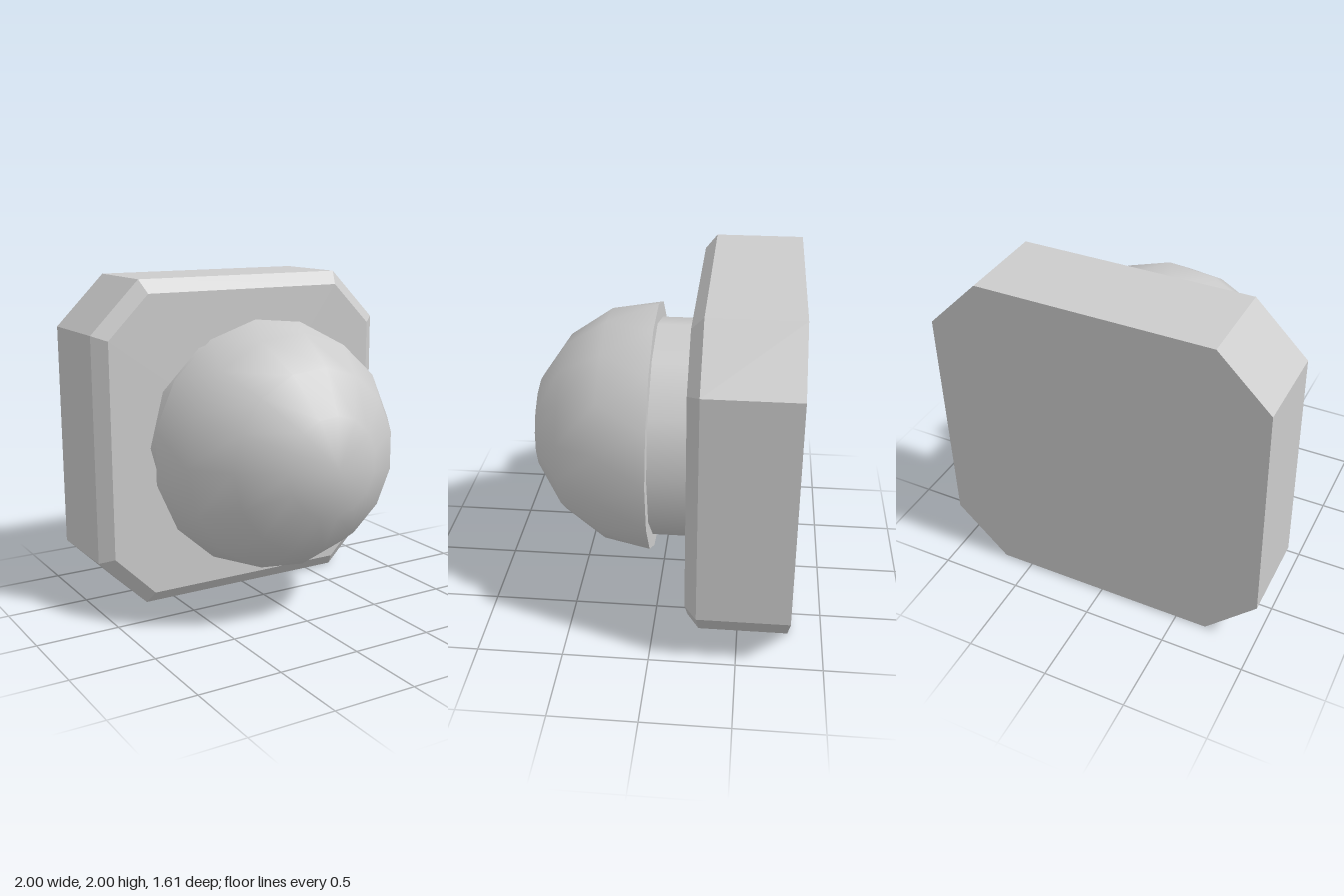
import * as THREE from 'three';
import { mergeVertices } from 'three/addons/utils/BufferGeometryUtils.js';

const SIDES = 15, DOME_R = 0.765, RIM_Z = 0.04, BEVEL_Z = -0.27, FACE_Z = -0.2, BACK_Z = -0.8;

// Points of a regular ring facing +z
const ring = (r, z, turn = 0) => Array.from({ length: SIDES }, (_, k) => {
  const a = (k / SIDES) * Math.PI * 2 + turn;
  return new THREE.Vector3(r * Math.cos(a), r * Math.sin(a), z);
});

// Points of a square ring with cut corners: half-width w, corner starts at c
const octagon = (w, c, z) =>
  [[w, -c], [w, c], [c, w], [-c, w], [-w, c], [-w, -c], [-c, -w], [c, -w]]
    .map(([x, y]) => new THREE.Vector3(x, y, z));

// Skin rings from back to front, with optional fans at both ends
function loft(rings, frontZ, backZ) {
  const pos = [], n = rings[0].length;
  const tri = (...pts) => pts.forEach((p) => pos.push(p.x, p.y, p.z));
  for (let k = 0; k < n; k++) {
    const m = (k + 1) % n;
    for (let i = 0; i + 1 < rings.length; i++) {
      const a = rings[i], b = rings[i + 1];
      tri(a[k], a[m], b[k]);
      tri(a[m], b[m], b[k]);
    }
    const last = rings[rings.length - 1], first = rings[0];
    if (frontZ !== undefined) tri(new THREE.Vector3(0, 0, frontZ), last[k], last[m]);
    if (backZ !== undefined) tri(new THREE.Vector3(0, 0, backZ), first[m], first[k]);
  }
  const g = new THREE.BufferGeometry();
  g.setAttribute('position', new THREE.Float32BufferAttribute(pos, 3));
  return g;
}

export function createModel() {
  const group = new THREE.Group();
  const add = (name, geometry, flatShading = false) => {
    const mesh = new THREE.Mesh(geometry, new THREE.MeshStandardMaterial({ color: 0xcccccc, flatShading }));
    mesh.name = name;
    mesh.position.y = 1;
    group.add(mesh);
  };

  // Square base with cut corners and a bevelled front edge
  const base = loft(
    [octagon(1, 0.69, BACK_Z), octagon(1, 0.69, BEVEL_Z), octagon(0.92, 0.66, FACE_Z)], FACE_Z, BACK_Z);
  base.computeVertexNormals();
  add('base', base, true);

  // Round neck between base and dome
  const neckLength = RIM_Z - FACE_Z;
  const neck = new THREE.CylinderGeometry(0.67, 0.67, neckLength, 12, 1, true);
  neck.rotateY(-Math.PI / 2).rotateX(Math.PI / 2).translate(0, 0, FACE_Z + neckLength / 2);
  add('neck', neck);

  // Dome: every ring above the rim is turned by half a side
  const rings = [0, 1, 2, 3].map((i) => {
    const a = (i * Math.PI) / 8;
    return ring(DOME_R * Math.cos(a), RIM_Z + DOME_R * Math.sin(a), i ? Math.PI / SIDES : 0);
  });
  const dome = mergeVertices(loft(rings, RIM_Z + DOME_R));
  dome.computeVertexNormals();
  add('dome', dome);

  // Flat underside of the dome
  const underside = loft([rings[0]], undefined, RIM_Z);
  underside.computeVertexNormals();
  add('domeUnderside', underside, true);

  return group;
}
